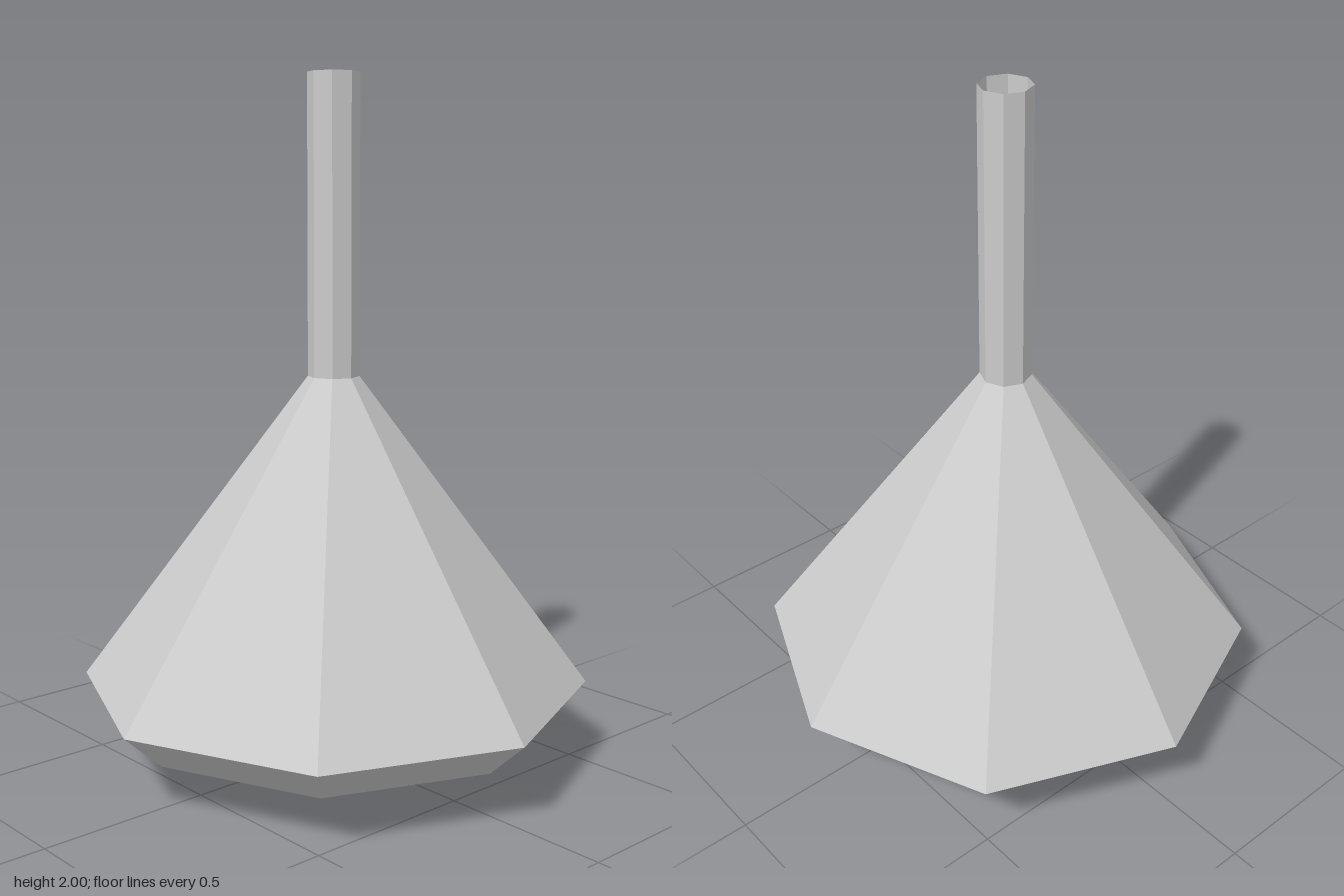
import * as THREE from 'three';

const SIDES = 8;

// Eight-sided faceted shell from [radius, height] pairs, listed bottom to top
function shell(name, profile) {
  const points = profile.map(([r, y]) => new THREE.Vector2(r, y));
  const material = new THREE.MeshStandardMaterial({
    color: 0xcccccc, flatShading: true, side: THREE.DoubleSide,
  });
  const mesh = new THREE.Mesh(new THREE.LatheGeometry(points, SIDES), material);
  mesh.name = name;
  return mesh;
}

export function createModel() {
  const group = new THREE.Group();
  group.name = 'pendantLamp';

  // Shallow bowl closing the underside, with a small flat centre
  group.add(shell('bowl', [[0, 0], [0.16, 0.003], [0.63, 0.12], [0.75, 0.23]]));

  // Conical shade between the rim and the stem
  group.add(shell('shade', [[0.75, 0.23], [0.075, 1.14]]));

  // Hollow stem, open at the top
  group.add(shell('stem', [[0.075, 1.14], [0.075, 2]]));

  return group;
}
